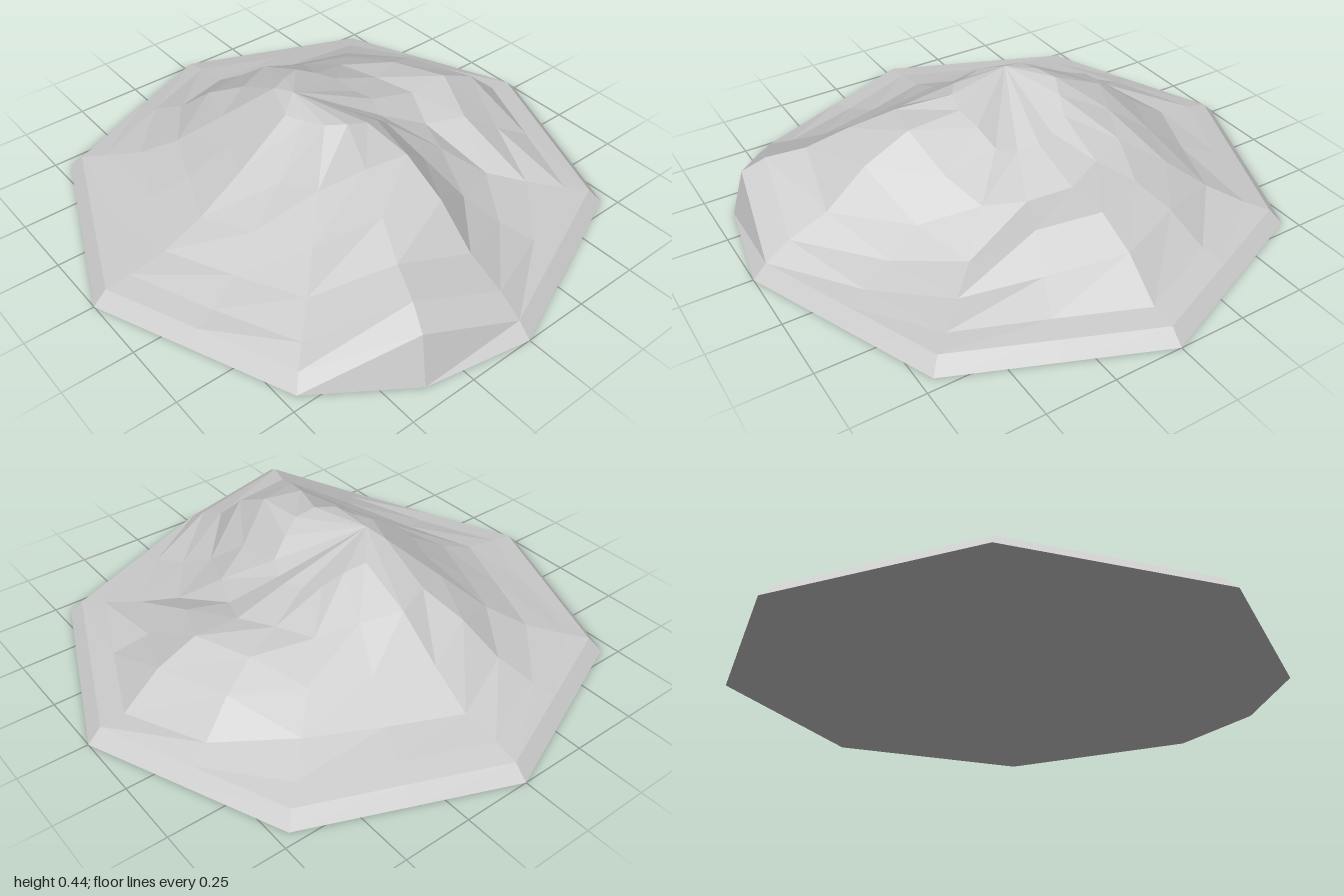
import * as THREE from 'three';

const SIDES = 16;
const RADII = [0.2, 0.4, 0.57, 0.72, 0.86];
const RIM = 0.95;

// Height profile of each spoke from the summit outwards, starting at +x and turning towards +z
const SPOKES = [
  [0.40, 0.385, 0.30, 0.17, 0.11],
  [0.42, 0.38, 0.32, 0.255, 0.23],
  [0.42, 0.30, 0.20, 0.13, 0.08],
  [0.41, 0.27, 0.18, 0.10, 0.06],
  [0.41, 0.26, 0.15, 0.085, 0.06],
  [0.415, 0.27, 0.16, 0.09, 0.06],
  [0.42, 0.28, 0.16, 0.09, 0.065],
  [0.42, 0.32, 0.24, 0.13, 0.075],
  [0.41, 0.32, 0.19, 0.09, 0.07],
  [0.38, 0.30, 0.20, 0.10, 0.07],
  [0.34, 0.27, 0.20, 0.12, 0.07],
  [0.31, 0.26, 0.24, 0.18, 0.08],
  [0.30, 0.24, 0.245, 0.18, 0.06],
  [0.28, 0.20, 0.20, 0.12, 0.06],
  [0.30, 0.20, 0.10, 0.07, 0.055],
  [0.36, 0.26, 0.15, 0.09, 0.06],
];

// Octagonal outline: odd spokes sit on the edges, except where the ridge pushes the rim out
const outline = (k) => (k === 1 ? 1.005 : k % 2 ? Math.cos(Math.PI / 8) : 1);

function polar(k, r, y) {
  const a = (k / SIDES) * Math.PI * 2;
  const d = r * outline(k);
  return [Math.cos(a) * d, y, Math.sin(a) * d];
}

// Joins rings of points, closing the first ring to an optional centre point
function skin(rings, centre) {
  const points = rings.flat();
  const index = [];
  for (let k = 0; k < SIDES; k++) {
    const n = (k + 1) % SIDES;
    if (centre) index.push(points.length, n, k);
    for (let i = 0; i < rings.length - 1; i++) {
      const a = i * SIDES, b = a + SIDES;
      index.push(a + k, b + n, b + k, a + k, a + n, b + n);
    }
  }
  if (centre) points.push(centre);
  const geo = new THREE.BufferGeometry();
  geo.setAttribute('position', new THREE.Float32BufferAttribute(points.flat(), 3));
  geo.setIndex(index);
  const flat = geo.toNonIndexed();
  flat.computeVertexNormals();
  return flat;
}

export function createModel() {
  const group = new THREE.Group();
  group.name = 'hill';
  const material = new THREE.MeshStandardMaterial({ color: 0xcccccc, flatShading: true });
  const add = (name, geometry) => {
    const mesh = new THREE.Mesh(geometry, material);
    mesh.name = name;
    group.add(mesh);
  };

  const ring = (r, height) => SPOKES.map((s, k) => polar(k, r, height(s, k)));
  const rim = ring(RIM, (s, k) => (k === 1 ? 0.18 : 0.05));
  const foot = ring(1, () => 0);

  // Faceted slopes from the summit to the rim
  const slopes = RADII.map((r, i) => ring(r, (s) => s[i]));
  add('slopes', skin([...slopes, rim], [-0.06, 0.44, 0.12]));

  // Bevelled edge around the base
  add('baseEdge', skin([rim, foot]));

  // Flat underside, facing down
  const underside = skin([foot], [0, 0, 0]);
  const p = underside.attributes.position;
  for (let i = 0; i < p.count; i += 3) {
    const b = new THREE.Vector3().fromBufferAttribute(p, i + 1);
    const c = new THREE.Vector3().fromBufferAttribute(p, i + 2);
    p.setXYZ(i + 1, c.x, c.y, c.z);
    p.setXYZ(i + 2, b.x, b.y, b.z);
  }
  underside.computeVertexNormals();
  add('underside', underside);

  return group;
}
